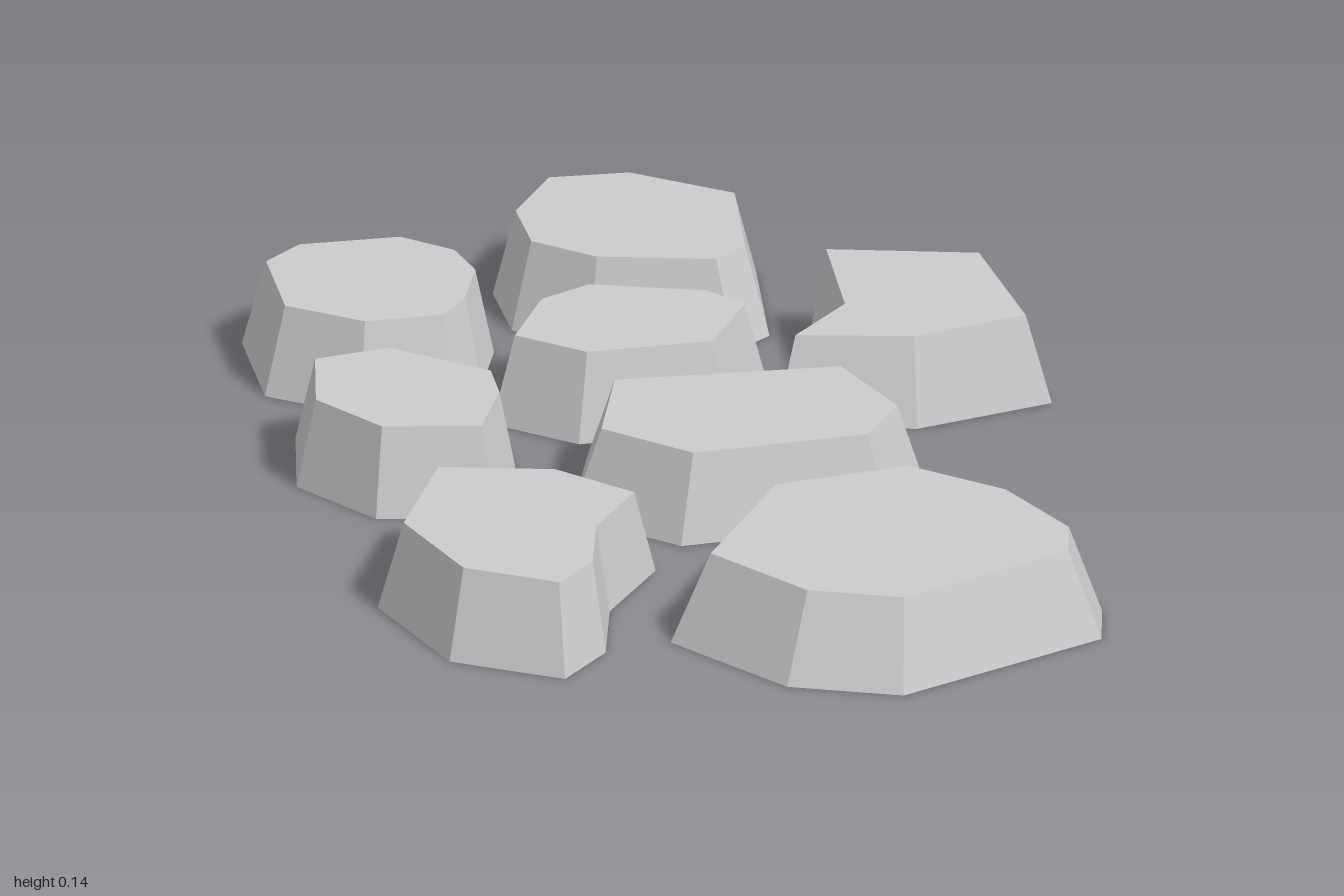
import * as THREE from 'three';

const HEIGHT = 0.141; // all stones share one height
const TAPER = 0.83; // size of the top face relative to the base

// Base outlines as [x, z] corners
const outlines = {
  backLeftStone: [[-0.36, -0.86], [-0.17, -0.83], [-0.1, -0.73], [-0.1, -0.62], [-0.17, -0.49], [-0.24, -0.42], [-0.39, -0.44], [-0.5, -0.57], [-0.45, -0.8]],
  backRightStone: [[0.11, -1], [0.26, -0.97], [0.405, -0.8], [0.325, -0.535], [0.25, -0.49], [0.045, -0.58], [-0.04, -0.7], [-0.01, -0.86]],
  innerStone: [[-0.1, -0.49], [0.01, -0.53], [0.205, -0.42], [0.245, -0.33], [0.12, -0.17], [-0.12, -0.2], [-0.215, -0.33]],
  sideStone: [[-0.52, -0.385], [-0.37, -0.39], [-0.235, -0.21], [-0.26, -0.1], [-0.355, 0.055], [-0.53, -0.01], [-0.595, -0.185]],
  centreStone: [[-0.13, -0.14], [0.29, -0.055], [0.315, 0.175], [0.21, 0.295], [-0.13, 0.27], [-0.245, 0.09]],
  frontSideStone: [[-0.5, 0.1], [-0.3, 0.19], [-0.205, 0.355], [-0.335, 0.495], [-0.405, 0.66], [-0.505, 0.745], [-0.645, 0.61], [-0.665, 0.35]],
  notchedStone: [[0.405, -0.56], [0.665, -0.44], [0.63, -0.105], [0.395, -0.075], [0.19, -0.16], [0.335, -0.28]],
  largeFrontStone: [[-0.05, 0.36], [0.215, 0.36], [0.34, 0.54], [0.38, 0.765], [0.335, 0.88], [-0.04, 1], [-0.195, 0.9], [-0.295, 0.655]],
};

// Extrude an outline upward and shrink its top face towards the mean corner
function stoneGeometry(points) {
  const shape = new THREE.Shape(points.map(([x, z]) => new THREE.Vector2(x, -z)));
  const geometry = new THREE.ExtrudeGeometry(shape, { depth: HEIGHT, bevelEnabled: false });
  geometry.rotateX(-Math.PI / 2);

  const mean = (axis) => points.reduce((sum, p) => sum + p[axis], 0) / points.length;
  const cx = mean(0);
  const cz = mean(1);
  const pos = geometry.attributes.position;
  for (let i = 0; i < pos.count; i++) {
    if (pos.getY(i) < HEIGHT / 2) continue;
    pos.setX(i, cx + (pos.getX(i) - cx) * TAPER);
    pos.setZ(i, cz + (pos.getZ(i) - cz) * TAPER);
  }
  geometry.computeVertexNormals();
  return geometry;
}

export function createModel() {
  const model = new THREE.Group();
  model.name = 'steppingStones';
  const material = new THREE.MeshStandardMaterial({ color: 0xcccccc, flatShading: true });

  for (const [name, points] of Object.entries(outlines)) {
    const stone = new THREE.Mesh(stoneGeometry(points), material);
    stone.name = name;
    model.add(stone);
  }
  return model;
}
